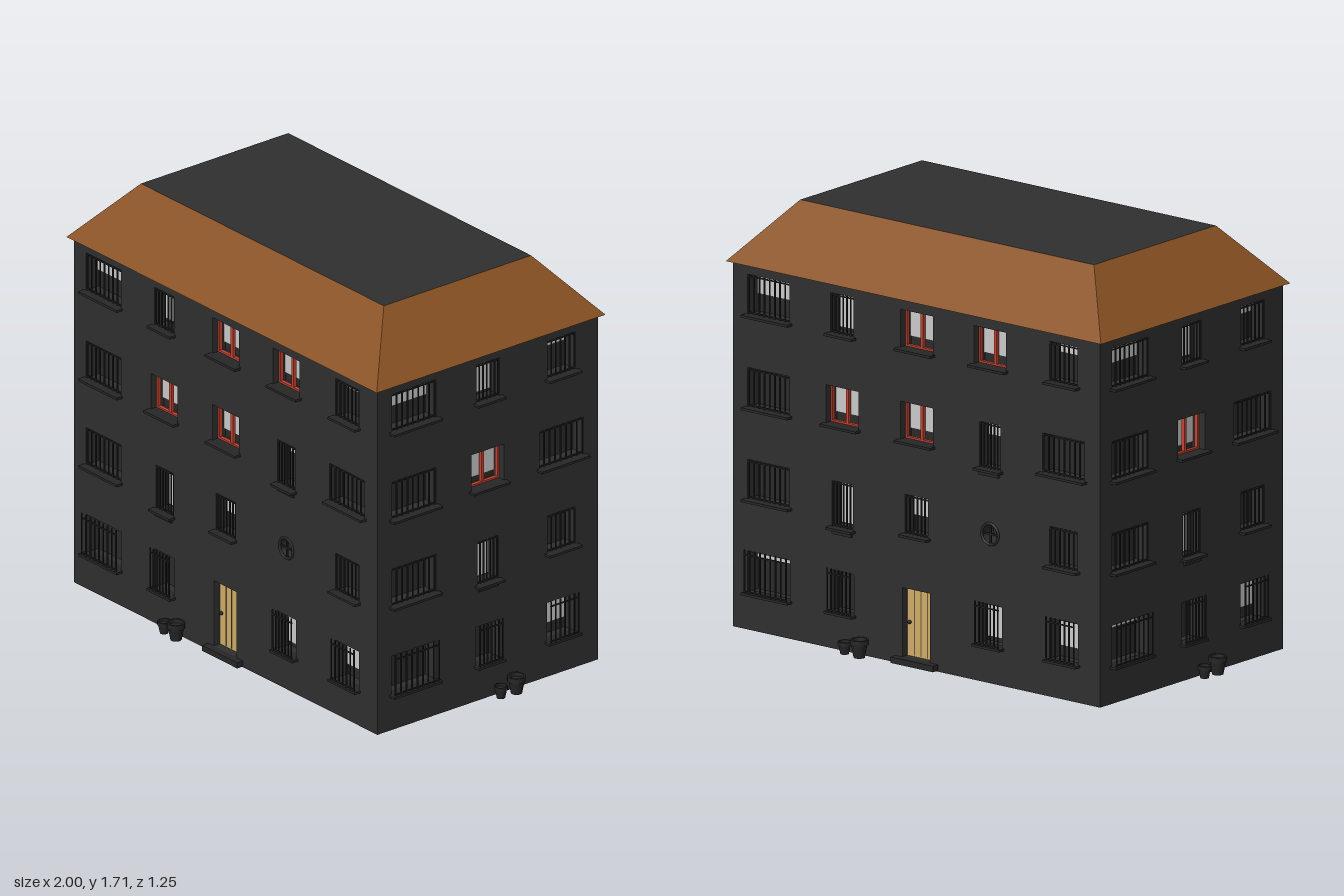
import * as THREE from 'three';

const mat = (color) => new THREE.MeshStandardMaterial({ color, roughness: 0.9, side: THREE.DoubleSide });
const M = {
  wall: mat(0x303030), iron: mat(0x222222), sill: mat(0x272727), glass: mat(0x2b2b2b), blind: mat(0xcccccc),
  red: mat(0xc8432f), door: mat(0xcfae6a), groove: mat(0x6b5630), roof: mat(0x8a5224), pot: mat(0x262626),
};
const HX = 0.925, HZ = 0.555, WALL_H = 1.475, DEPTH = 0.07;

function add(parent, name, geo, material, x = 0, y = 0, z = 0) {
  const mesh = new THREE.Mesh(geo, material);
  mesh.name = name;
  mesh.position.set(x, y, z);
  parent.add(mesh);
  return mesh;
}
const box = (parent, name, material, w, h, d, x, y, z) =>
  add(parent, name, new THREE.BoxGeometry(w, h, d), material, x, y, z);

function rect(PathType, x0, y0, x1, y1) {
  const p = new PathType();
  p.moveTo(x0, y0); p.lineTo(x1, y0); p.lineTo(x1, y1); p.lineTo(x0, y1); p.closePath();
  return p;
}

// Rectangular ring extruded backwards from front face zFront
function ring(parent, name, material, w, h, t, depth, zFront, x, y) {
  const s = rect(THREE.Shape, -w / 2, -h / 2, w / 2, h / 2);
  s.holes.push(rect(THREE.Path, -w / 2 + t, -h / 2 + t, w / 2 - t, h / 2 - t));
  const g = new THREE.ExtrudeGeometry(s, { depth, bevelEnabled: false });
  return add(parent, name, g, material, x, y, zFront - depth);
}

// Sunken window; kind is 'bars', 'grille' (stands off the wall), 'tall' or 'red'
function makeWindow({ x, y0, y1, w, light, kind }) {
  const g = new THREE.Group();
  g.name = 'window';
  const h = y1 - y0, cy = (y0 + y1) / 2;
  ring(g, 'windowNiche', M.wall, w + 0.008, h + 0.008, 0.004, DEPTH, -0.001, x, cy);
  box(g, 'windowGlass', M.glass, w, h, 0.004, x, cy, -DEPTH + 0.002);
  if (light !== undefined)
    box(g, 'windowBlind', M.blind, w, y1 - light, 0.004, x, (y1 + light) / 2, -DEPTH + 0.008);
  box(g, 'windowSill', M.sill, w + 0.02, 0.01, 0.06, x, y0 - 0.003, 0);
  if (kind === 'tall') box(g, 'sillApron', M.sill, w - 0.01, 0.02, 0.012, x, y0 - 0.016, 0.004);

  if (kind === 'red') {
    ring(g, 'windowFrame', M.red, w, h, 0.009, 0.015, -0.03, x, cy);
    box(g, 'windowMullion', M.red, 0.014, h, 0.014, x, cy, -0.038);
    return g;
  }
  const off = kind === 'grille';
  const z = off ? 0.022 : -0.006, top = off ? y1 + 0.012 : y1, n = w > 0.2 ? 9 : 7;
  const bw = w - 0.006;
  for (let i = 0; i < n; i++)
    box(g, 'windowBar', M.iron, 0.005, top - y0, 0.005, x - bw / 2 + (bw * i) / (n - 1), (top + y0) / 2, z);
  for (const y of [y0 + 0.008, y1 - 0.008])
    box(g, 'windowRail', M.iron, w, 0.005, 0.005, x, y, z);
  return g;
}

// Flat wall with openings; local +z faces outwards
function makeWall(name, half, windows, door, roundWindow) {
  const g = new THREE.Group();
  g.name = name;
  const s = rect(THREE.Shape, -half, 0, half, WALL_H);
  for (const o of windows) {
    s.holes.push(rect(THREE.Path, o.x - o.w / 2, o.y0, o.x + o.w / 2, o.y1));
    g.add(makeWindow(o));
  }
  if (door) {
    s.holes.push(rect(THREE.Path, -0.073, 0.028, 0.067, 0.307));
    g.add(makeDoor());
  }
  if (roundWindow) {
    const { x, y, r } = roundWindow;
    s.holes.push(new THREE.Path().absarc(x, y, r, 0, Math.PI * 2));
    g.add(makeRoundWindow(x, y, r));
  }
  add(g, 'wall', new THREE.ShapeGeometry(s, 16), M.wall);
  return g;
}

function makeDoor() {
  const g = new THREE.Group();
  g.name = 'door';
  const x = -0.003, y = 0.1675;
  ring(g, 'doorNiche', M.wall, 0.148, 0.287, 0.004, 0.04, -0.001, x, y);
  box(g, 'doorLeaf', M.door, 0.14, 0.279, 0.008, x, y, -0.036);
  for (const dx of [-0.033, 0, 0.033])
    box(g, 'doorGroove', M.groove, 0.004, 0.27, 0.002, x + dx, y, -0.0315);
  add(g, 'doorKnob', new THREE.SphereGeometry(0.008, 10, 8), M.iron, -0.058, 0.165, -0.026);
  box(g, 'doorStep', M.sill, 0.215, 0.024, 0.075, 0, 0.016, -0.007);
  return g;
}

function makeRoundWindow(x, y, r) {
  const g = new THREE.Group();
  g.name = 'roundWindow';
  const tube = add(g, 'roundNiche', new THREE.CylinderGeometry(r, r, DEPTH, 24, 1, true), M.wall, x, y, -DEPTH / 2);
  tube.rotation.x = Math.PI / 2;
  add(g, 'roundGlass', new THREE.CircleGeometry(r, 24), M.glass, x, y, -DEPTH);
  add(g, 'roundFrame', new THREE.TorusGeometry(r, 0.006, 6, 24), M.sill, x, y, 0);
  box(g, 'roundCrossBar', M.iron, r * 2, 0.007, 0.007, x, y, -0.005);
  box(g, 'roundCrossBar', M.iron, 0.007, r * 2, 0.007, x, y, -0.005);
  return g;
}

// Tapered pot with a rim and soil
function makePot(x, z, r, h) {
  const pts = [[0, 0], [r * 0.62, 0], [r * 0.88, h * 0.7], [r, h * 0.7], [r, h], [r * 0.8, h], [r * 0.76, h * 0.8], [0, h * 0.8]]
    .map(([a, b]) => new THREE.Vector2(a, b));
  const g = new THREE.LatheGeometry(pts, 16).toNonIndexed();
  g.computeVertexNormals();
  const holder = new THREE.Group();
  add(holder, 'flowerPot', g, M.pot, x, 0, z);
  return holder;
}

const win = (x, y0, y1, w, kind = 'bars', light) => ({ x, y0, y1, w, kind, light });
const WIDE = 0.215, MID = 0.145, SLIM = 0.12;

const LONG_WINDOWS = [
  win(-0.745, 0.15, 0.315, WIDE, 'grille', 0.28), win(-0.375, 0.15, 0.315, SLIM, 'grille'),
  win(0.37, 0.15, 0.315, SLIM, 'grille', 0.168), win(0.74, 0.15, 0.315, MID, 'grille', 0.195),
  win(-0.745, 0.525, 0.685, WIDE), win(-0.372, 0.49, 0.675, 0.108, 'tall', 0.495),
  win(0, 0.525, 0.685, SLIM, 'bars', 0.59), win(0.74, 0.525, 0.685, MID),
  win(-0.745, 0.895, 1.055, WIDE), win(-0.375, 0.9, 1.055, 0.163, 'red', 0.935),
  win(0, 0.9, 1.055, 0.163, 'red', 0.935), win(0.37, 0.86, 1.045, 0.108, 'tall', 0.98),
  win(0.74, 0.895, 1.055, WIDE),
  win(-0.745, 1.268, 1.43, WIDE, 'bars', 1.34), win(-0.375, 1.268, 1.43, SLIM, 'bars', 1.28),
  win(0, 1.27, 1.425, 0.163, 'red', 1.305), win(0.37, 1.27, 1.425, 0.163, 'red', 1.305),
  win(0.74, 1.268, 1.43, MID, 'bars', 1.375),
];
const SHORT_WINDOWS = [
  win(-0.372, 0.15, 0.315, WIDE + 0.01, 'grille', 0.28), win(0, 0.15, 0.315, SLIM, 'grille'),
  win(0.37, 0.15, 0.315, MID, 'grille', 0.195),
  win(-0.372, 0.525, 0.685, WIDE + 0.01), win(0, 0.49, 0.675, 0.108, 'tall', 0.495), win(0.37, 0.525, 0.685, MID),
  win(-0.372, 0.895, 1.055, WIDE + 0.01), win(0, 0.9, 1.055, 0.163, 'red', 0.925), win(0.37, 0.895, 1.055, WIDE + 0.01),
  win(-0.372, 1.268, 1.43, WIDE + 0.01, 'bars', 1.345), win(0, 1.268, 1.43, SLIM, 'bars', 1.28),
  win(0.37, 1.268, 1.43, MID, 'bars', 1.375),
];

// One long wall, one short wall and their pots
function makeHalf(name) {
  const half = new THREE.Group();
  half.name = name;
  const long = makeWall('longWall', HX, LONG_WINDOWS, true, { x: 0.37, y: 0.6, r: 0.042 });
  long.position.z = HZ;
  const short = makeWall('shortWall', HZ, SHORT_WINDOWS);
  short.position.x = HX;
  short.rotation.y = Math.PI / 2;
  half.add(long, short);
  half.add(makePot(-0.26, 0.59, 0.036, 0.073), makePot(-0.337, 0.586, 0.027, 0.05));
  half.add(makePot(0.964, -0.112, 0.036, 0.073), makePot(0.96, -0.037, 0.027, 0.05));
  return half;
}

export function createModel() {
  const model = new THREE.Group();
  model.name = 'apartmentHouse';
  const back = makeHalf('backHalf');
  back.rotation.y = Math.PI;
  model.add(makeHalf('frontHalf'), back);

  // Hipped roof with a flat top: a box with its top corners drawn in
  const g = new THREE.BoxGeometry(1.89, 0.24, 1.15);
  const p = g.attributes.position;
  for (let i = 0; i < p.count; i++)
    if (p.getY(i) > 0) p.setXYZ(i, Math.sign(p.getX(i)) * 0.74, 0.12, Math.sign(p.getZ(i)) * 0.37);
  g.computeVertexNormals();
  add(model, 'roof', g, [M.roof, M.roof, M.wall, M.wall, M.roof, M.roof], 0, 1.59, 0);
  return model;
}
